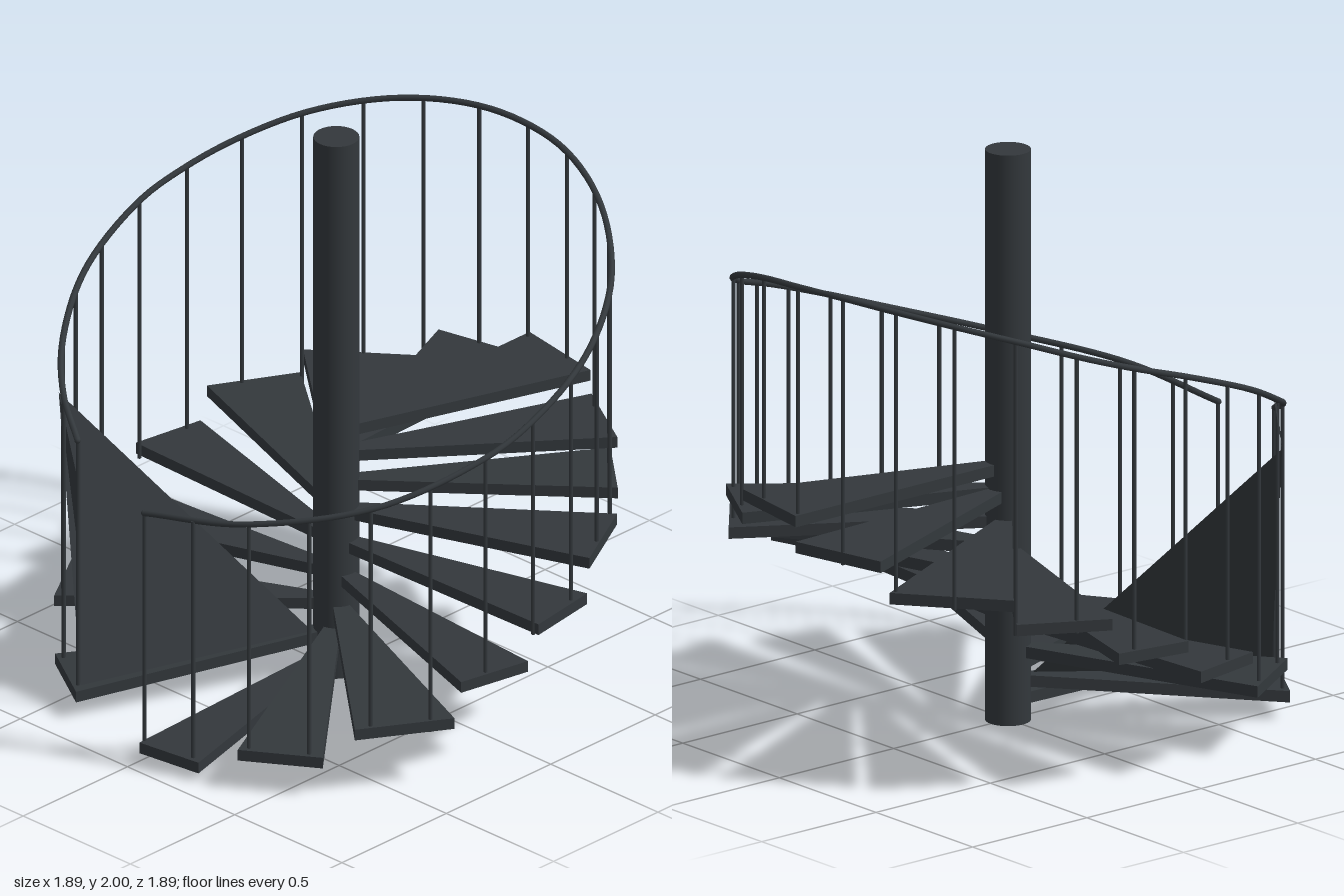
import * as THREE from 'three';

const material = new THREE.MeshStandardMaterial({ color: 0x33383c });
const panelMaterial = new THREE.MeshStandardMaterial({ color: 0x33383c, side: THREE.DoubleSide });

// Angles in degrees, from the front (+z) round towards +x.
const polar = (deg, r, y) => {
  const a = THREE.MathUtils.degToRad(deg);
  return new THREE.Vector3(Math.sin(a) * r, y, Math.cos(a) * r);
};

// Treads: start angle, end angle, outer height, inner height (mid-thickness)
const treads = [
  [0, 15, 0.05, 0.065],
  [23.8, 41.5, 0.13, 0.17],
  [48, 69, 0.235, 0.25],
  [70.5, 87, 0.365, 0.365],
  [90, 107, 0.485, 0.485],
  [108, 128.5, 0.61, 0.6],
  [130, 148, 0.695, 0.7],
  [139.5, 159.5, 0.805, 0.805],
  [160, 181, 0.89, 0.89],
  [181, 203, 0.8, 0.8],
  [205, 231, 0.695, 0.7],
  [231.5, 251.5, 0.61, 0.6],
  [253, 269.5, 0.485, 0.485],
  [273, 290, 0.365, 0.365],
  [292, 312, 0.235, 0.25],
  [319.5, 337, 0.08, 0.14],
];

// Handrail: angle and height
const railPoints = [
  [0, 0.925], [25, 0.99], [53, 1.075], [77, 1.19], [90, 1.265], [108, 1.37], [127.5, 1.475],
  [142.5, 1.565], [155, 1.635], [168, 1.685], [180, 1.705], [192, 1.71], [205, 1.695],
  [217.5, 1.665], [231.5, 1.615], [246, 1.545], [258, 1.485], [270, 1.425], [290, 1.305],
  [308, 1.18], [322, 1.095], [334.3, 1.02],
];

function add(group, name, geometry, mat = material) {
  const mesh = new THREE.Mesh(geometry, mat);
  mesh.name = name;
  group.add(mesh);
  return mesh;
}

// Wedge: a box whose corners are moved to the pole and to the outer ring
function treadGeometry([a0, a1, yOut, yIn]) {
  const geo = new THREE.BoxGeometry(1, 1, 1);
  const p = geo.attributes.position;
  const mid = (a0 + a1) / 2;
  for (let i = 0; i < p.count; i++) {
    const outer = p.getZ(i) > 0;
    const end = p.getX(i) > 0;
    const y = (outer ? yOut : yIn) + p.getY(i) * 0.04;
    const v = outer ? polar(end ? a1 : a0, 0.943, y) : polar(mid + (end ? 24 : -24), 0.065, y);
    p.setXYZ(i, v.x, v.y, v.z);
  }
  geo.computeVertexNormals();
  return geo;
}

function railHeight(deg) {
  let i = 0;
  while (i < railPoints.length - 2 && railPoints[i + 1][0] < deg) i++;
  const [a, ya] = railPoints[i], [b, yb] = railPoints[i + 1];
  return ya + (yb - ya) * Math.min(1, (deg - a) / (b - a));
}

// Height of the tread nearest to an angle
function treadHeight(deg) {
  const distance = (t) => Math.abs((t[0] + t[1]) / 2 - deg);
  return treads.reduce((best, t) => (distance(t) < distance(best) ? t : best))[2];
}

export function createModel() {
  const model = new THREE.Group();
  model.name = 'spiralStaircase';

  // Central pole
  add(model, 'pole', new THREE.CylinderGeometry(0.077, 0.077, 2, 32)).position.y = 1;

  // Treads
  const steps = new THREE.Group();
  steps.name = 'treads';
  treads.forEach((t) => add(steps, 'tread', treadGeometry(t)));
  model.add(steps);

  // Handrail
  const path = new THREE.CatmullRomCurve3(railPoints.map(([a, y]) => polar(a, 0.92, y)));
  add(model, 'handrail', new THREE.TubeGeometry(path, 120, 0.011, 8));
  [railPoints[0], railPoints.at(-1)].forEach(([a, y]) =>
    add(model, 'handrailEnd', new THREE.SphereGeometry(0.011, 8, 6)).position.copy(polar(a, 0.92, y)));

  // Balusters, evenly spaced round the ring except for the opening at the front
  const balusters = new THREE.Group();
  balusters.name = 'balusters';
  for (let i = 0; i < 27; i++) {
    const deg = (i * 360) / 28;
    const bottom = treadHeight(deg) - 0.025;
    const top = railHeight(deg);
    const rod = add(balusters, 'baluster', new THREE.CylinderGeometry(0.007, 0.007, top - bottom, 8));
    rod.position.copy(polar(deg, 0.918, (top + bottom) / 2));
  }
  model.add(balusters);

  // Triangular side panels meeting at one point beside the lowest treads
  const apex = [-0.715, 1.0, 0.595];
  const panels = [
    [[-0.38, 0.08, 0.83], [-0.02, 0.14, 0.07]],
    [[-0.4, 0.84, 0.82], [-0.4, 0.57, 0.82]],
    [[-0.745, 1.185, 0.535], [-0.72, 1.16, 0.57]],
  ];
  panels.forEach(([a, b]) => {
    const geo = new THREE.BufferGeometry();
    geo.setAttribute('position', new THREE.Float32BufferAttribute([...apex, ...a, ...b], 3));
    geo.computeVertexNormals();
    add(model, 'sidePanel', geo, panelMaterial);
  });

  return model;
}
